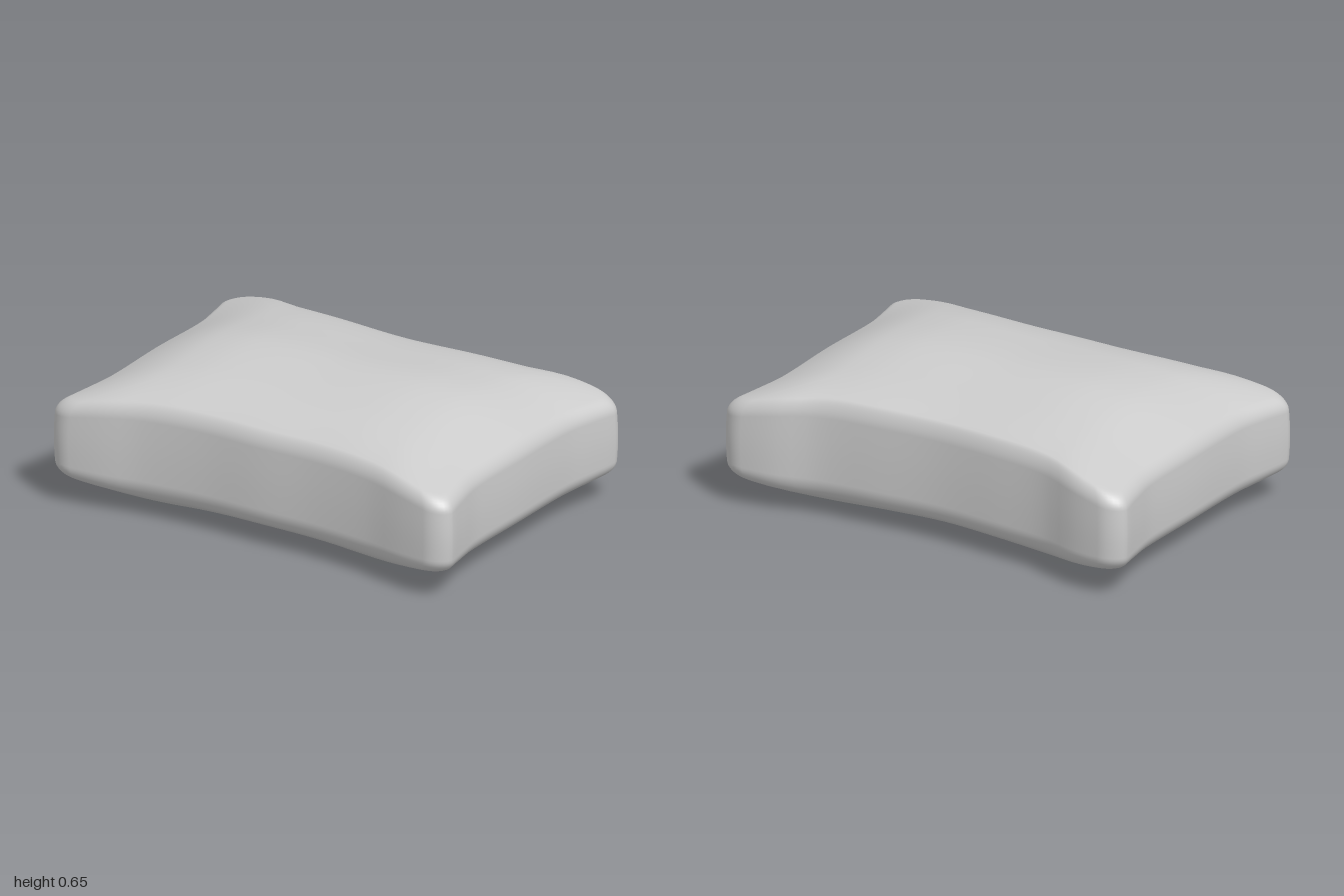
import * as THREE from 'three';
import { mergeVertices } from 'three/addons/utils/BufferGeometryUtils.js';

// Smooth curve through [position, value] points, level at position 0
function profile(points) {
  const slope = points.map((p, i) => {
    if (i === 0) return 0;
    const a = points[i - 1], b = points[Math.min(i + 1, points.length - 1)];
    return (b[1] - a[1]) / (b[0] - a[0]);
  });
  return (t) => {
    t = Math.min(Math.abs(t), 1);
    let i = 0;
    while (i < points.length - 2 && t > points[i + 1][0]) i++;
    const [x0, y0] = points[i], [x1, y1] = points[i + 1];
    const w = x1 - x0, k = (t - x0) / w, k2 = k * k, k3 = k2 * k;
    return y0 * (2 * k3 - 3 * k2 + 1) + y1 * (3 * k2 - 2 * k3)
      + w * (slope[i] * (k3 - 2 * k2 + k) + slope[i + 1] * (k3 - k2));
  };
}

// Plan outline: pinched edges between pulled-out corners
const halfWidth = profile([[0, 0.945], [0.5, 0.945], [0.75, 0.975], [0.9, 0.998], [1, 1]]);
const frontDepth = profile([[0, 0.603], [0.28, 0.6], [0.57, 0.625], [0.75, 0.665], [0.9, 0.688], [1, 0.69]]);
const backDepth = profile([[0, 0.568], [0.3, 0.586], [0.57, 0.613], [0.75, 0.672], [0.9, 0.695], [1, 0.695]]);

// Crown of the top and belly of the underside
const topAcross = profile([[0, 1], [0.42, 1], [0.63, 0.88], [0.74, 0.73], [0.85, 0.5], [0.95, 0.24], [1, 0.12]]);
const topFront = profile([[0, 1], [0.5, 0.87], [0.75, 0.7], [0.92, 0.5], [1, 0.35]]);
const topBack = profile([[0, 1], [0.52, 0.83], [0.8, 0.68], [0.95, 0.53], [1, 0.4]]);
const bellyAcross = profile([[0, 0.87], [0.3, 0.93], [0.58, 1], [0.76, 0.73], [0.9, 0.4], [1, 0.15]]);
const bellyAlong = profile([[0, 1], [0.5, 1], [0.75, 0.76], [0.9, 0.48], [1, 0.15]]);

const topY = (u, v) => 0.445 + 0.2 * topAcross(u) * (v > 0 ? topFront(v) : topBack(v));
const bottomY = (u, v) => Math.max(0, 0.145 * (1 - bellyAcross(u) * bellyAlong(v)));

// Square outline with rounded corners, running from +x towards +z
function roundedSquare(radius, edgeSteps, cornerSteps) {
  const loop = [], c = 1 - radius;
  for (let side = 0; side < 4; side++) {
    const cos = Math.round(Math.cos(side * Math.PI / 2));
    const sin = Math.round(Math.sin(side * Math.PI / 2));
    const add = (p, q) => loop.push([p * cos - q * sin, p * sin + q * cos]);
    for (let i = 0; i < edgeSteps; i++) add(1, -c + 2 * c * i / edgeSteps);
    for (let i = 0; i < cornerSteps; i++) {
      const a = i / cornerSteps * Math.PI / 2;
      add(c + radius * Math.cos(a), c + radius * Math.sin(a));
    }
  }
  return loop;
}

// Rings from the middle of a face out to the side wall: [scale, roll-off]
function faceRings() {
  const edge = 0.055, rings = [];
  for (let i = 0; i <= 24; i++) rings.push([(1 - edge) * i / 24, 0]);
  for (let i = 1; i <= 8; i++) {
    const a = i / 8 * Math.PI / 2;
    rings.push([1 - edge + edge * Math.sin(a), edge * (1 - Math.cos(a))]);
  }
  return rings;
}

function cushionGeometry() {
  const loop = roundedSquare(0.11, 32, 8), n = loop.length;
  const positions = [], index = [];
  const addRing = (s, height) => {
    for (const [cu, cv] of loop) {
      const u = cu * s, v = cv * s;
      positions.push(u * halfWidth(v), height(u, v), v * (v > 0 ? frontDepth(u) : backDepth(u)));
    }
  };
  const rings = faceRings(), drop = rings[rings.length - 1][1];

  // Underside, side wall, then top
  for (const [s, d] of rings) addRing(s, (u, v) => bottomY(u, v) + d);
  for (let i = 1; i < 6; i++) {
    addRing(1 + 0.004 * Math.sin(i / 6 * Math.PI), (u, v) =>
      THREE.MathUtils.lerp(bottomY(u, v) + drop, topY(u, v) - drop, i / 6));
  }
  for (const [s, d] of [...rings].reverse()) addRing(s, (u, v) => topY(u, v) - d);

  const ringCount = positions.length / 3 / n;
  for (let r = 0; r < ringCount - 1; r++) {
    for (let i = 0; i < n; i++) {
      const a = r * n + i, b = r * n + (i + 1) % n;
      if (r < ringCount - 2) index.push(a, a + n, b, b, a + n, b + n);
      else index.push(a, a + n, b);
    }
  }
  const geometry = new THREE.BufferGeometry();
  geometry.setAttribute('position', new THREE.Float32BufferAttribute(positions, 3));
  geometry.setIndex(index);
  const merged = mergeVertices(geometry, 1e-5);
  merged.computeVertexNormals();
  return merged;
}

export function createModel() {
  const group = new THREE.Group();
  group.name = 'pillow';
  const cushion = new THREE.Mesh(cushionGeometry(), new THREE.MeshStandardMaterial({ color: 0xcccccc }));
  cushion.name = 'cushion';
  group.add(cushion);
  return group;
}
